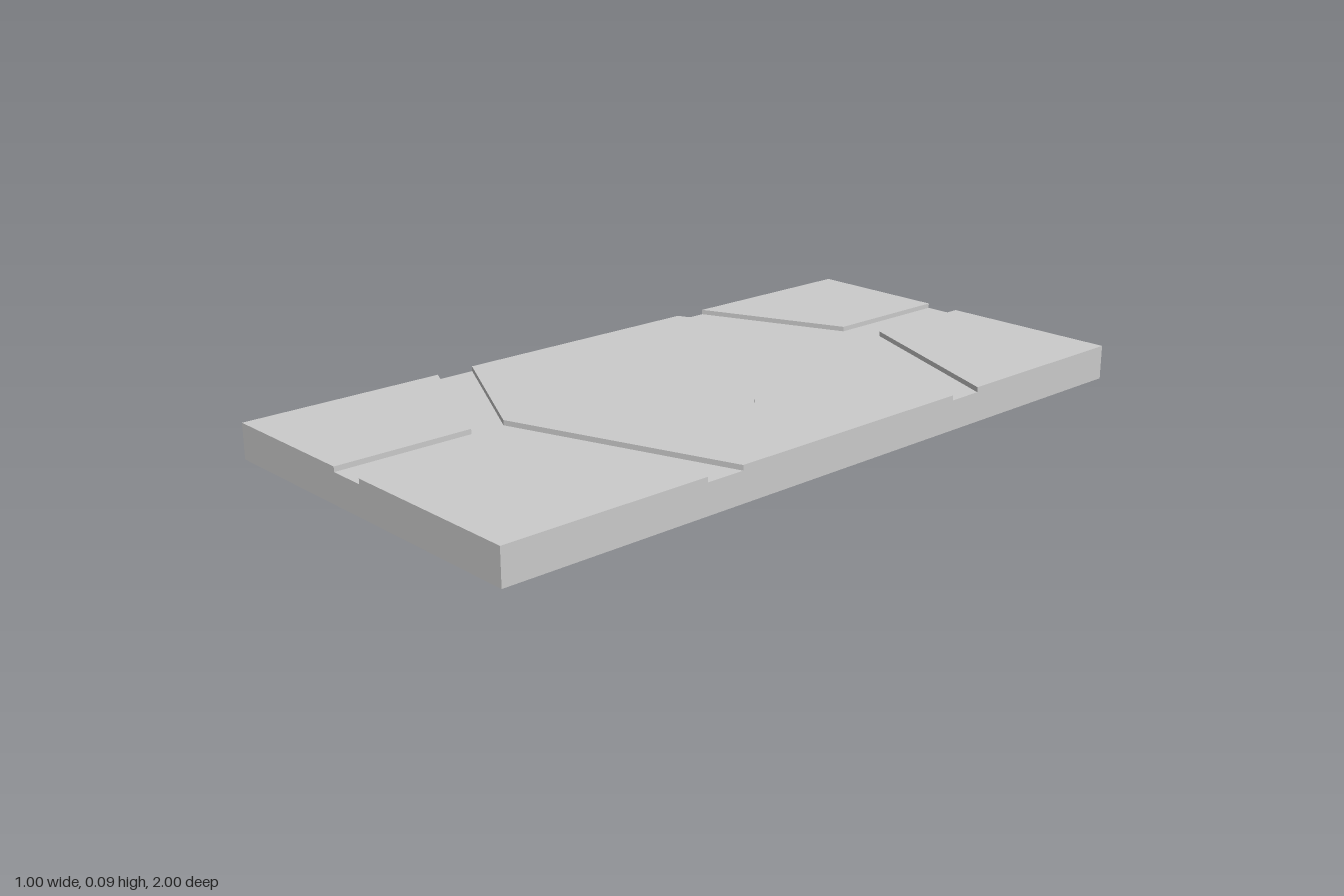
import * as THREE from 'three';

const FLOOR = 0.078; // height of the groove floor
const TOP = 0.091; // height of the raised faces

// Points are [x, z] as seen from above.
const toVectors = (points) => points.map(([x, z]) => new THREE.Vector2(x, -z));

export function createModel() {
  const group = new THREE.Group();
  const material = new THREE.MeshStandardMaterial({ color: 0xcccccc, flatShading: true });

  const add = (name, geometry) => {
    const mesh = new THREE.Mesh(geometry, material);
    mesh.name = name;
    group.add(mesh);
  };

  // Raised panel standing on the groove floor, with an optional cut-out
  const addPanel = (name, outline, cutout) => {
    const shape = new THREE.Shape(toVectors(outline));
    if (cutout) shape.holes.push(new THREE.Path(toVectors(cutout)));
    const geometry = new THREE.ExtrudeGeometry(shape, { depth: TOP - FLOOR, bevelEnabled: false });
    geometry.rotateX(-Math.PI / 2).translate(0, FLOOR, 0);
    add(name, geometry);
  };

  // Slab whose top forms the floor of all grooves
  add('baseSlab', new THREE.BoxGeometry(1, FLOOR, 2).translate(0, FLOOR / 2, 0));

  // Four corner panels
  addPanel('backRightPanel', [[-0.5, -1], [-0.1, -1], [-0.1, -0.632], [-0.5, -0.468]]);
  addPanel('backLeftPanel', [[0, -1], [0.5, -1], [0.5, -0.468], [0, -0.67]]);
  addPanel('frontRightPanel', [[-0.5, 0.45], [-0.1, 0.635], [-0.1, 1], [-0.5, 1]]);
  addPanel('frontLeftPanel', [[0, 0.608], [0.5, 0.45], [0.5, 1], [0, 1]]);

  // Six-sided centre panel with the engraved chevron
  addPanel(
    'centrePanel',
    [[-0.5, -0.373], [0, -0.582], [0.5, -0.373], [0.5, 0.344], [-0.1, 0.543], [-0.5, 0.344]],
    [[-0.1, -0.35], [0.277, 0.003], [-0.1, 0.378], [-0.1, 0.285], [0.192, 0.003], [-0.1, -0.26]],
  );

  return group;
}
